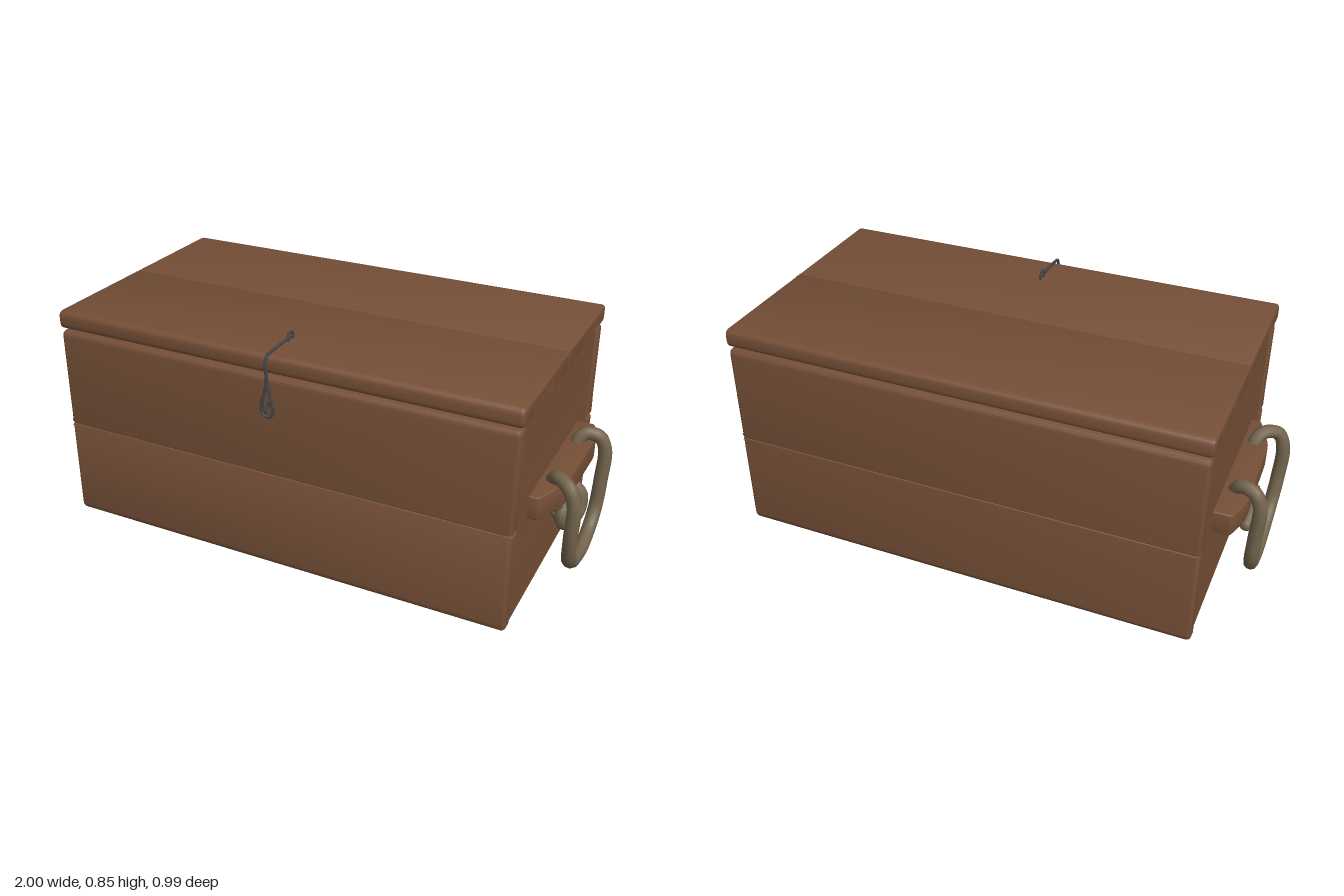
import * as THREE from 'three';
import { toCreasedNormals } from 'three/addons/utils/BufferGeometryUtils.js';

const mat = (name, color) => {
  const m = new THREE.MeshStandardMaterial({ color });
  m.name = name;
  return m;
};

// Closed shape from [u, v, cornerRadius] points
function roundedShape(pts) {
  const shape = new THREE.Shape();
  const n = pts.length;
  pts.forEach(([u, v, r = 0], i) => {
    const toward = ([a, b]) => {
      const d = Math.hypot(a - u, b - v);
      return [u + ((a - u) * r) / d, v + ((b - v) * r) / d];
    };
    const a = toward(pts[(i + n - 1) % n]);
    if (i === 0) shape.moveTo(...a);
    else shape.lineTo(...a);
    if (r) shape.quadraticCurveTo(u, v, ...toward(pts[(i + 1) % n]));
  });
  shape.closePath();
  return shape;
}

// Centred extrusion with rounded end edges that stays inside the outline
function extrude(pts, length, bevel) {
  const geo = new THREE.ExtrudeGeometry(roundedShape(pts), {
    depth: length - 2 * bevel, curveSegments: 4, bevelEnabled: bevel > 0,
    bevelSize: bevel, bevelThickness: bevel, bevelOffset: -bevel, bevelSegments: 3,
  });
  return geo.translate(0, 0, -length / 2 + bevel);
}

// Board with a (z, y) profile running along x
const board = (pts, length, bevel) =>
  toCreasedNormals(extrude(pts, length, bevel).rotateY(-Math.PI / 2), 0.7);

const tube = (pts, segments, radius, sides) => new THREE.TubeGeometry(
  new THREE.CatmullRomCurve3(pts.map((p) => new THREE.Vector3(...p))), segments, radius, sides);

export function createModel() {
  const group = new THREE.Group();
  group.name = 'woodenChest';
  const wood = mat('brown wood', 0x754f37);
  const rope = mat('hemp rope', 0x73644d);
  const iron = mat('dark iron', 0x47474b);
  const add = (name, geo, material, x = 0, y = 0, z = 0) => {
    const mesh = new THREE.Mesh(geo, material);
    mesh.name = name;
    mesh.position.set(x, y, z);
    group.add(mesh);
    return mesh;
  };

  // Front and back walls, two boards each
  for (const [side, outer, inner] of [['front', 0.455, 0.396], ['back', -0.49, -0.434]]) {
    add(side + 'LowerBoard', board([
      [outer, 0.004, 0.028], [outer, 0.375, 0.004], [inner, 0.375], [inner, 0.004, 0.01],
    ], 1.7, 0.014), wood);
    add(side + 'UpperBoard', board([
      [outer, 0.377, 0.004], [outer, 0.745, 0.024], [inner, 0.745, 0.01], [inner, 0.377],
    ], 1.7, 0.014), wood);
  }

  // Lid boards, notched underneath for the end tabs
  const lid = (outer, seam, a, b) => [
    [outer, 0.753, 0.02], [outer, 0.819, 0.024], [seam, 0.819, 0.003], [seam, 0.753],
    [b, 0.753], [b, 0.787], [a, 0.787], [a, 0.753],
  ];
  add('lidFrontBoard', board(lid(0.455, -0.019, 0.348, 0.157), 1.71, 0.012), wood);
  add('lidBackBoard', board(lid(-0.49, -0.021, -0.388, -0.194), 1.71, 0.012), wood);

  // Floor
  add('floor', new THREE.BoxGeometry(1.62, 0.04, 0.818), wood, 0, 0.032, -0.019);

  const zf = 0.39;
  const zb = -0.428;
  const endTop = [
    [zb, 0.501], [zf, 0.501], [zf, 0.745], [0.345, 0.745], [0.345, 0.785], [0.16, 0.785],
    [0.16, 0.585], [0.154, 0.745], [-0.191, 0.745], [-0.197, 0.585], [-0.197, 0.785],
    [-0.385, 0.785], [-0.385, 0.745], [zb, 0.745],
  ];
  const cleat = [
    [0.82, 0.275], [0.875, 0.275, 0.01], [0.93, 0.14, 0.03], [0.935, -0.22, 0.03],
    [0.905, -0.31, 0.01], [0.82, -0.31],
  ];
  // Rope from knot tail, up through the cleat, around the loop and back to the knot
  const ropePath = [
    [0.925, 0.243, -0.1], [0.93, 0.265, -0.05], [0.92, 0.288, 0.02], [0.91, 0.265, 0.07],
    [0.91, 0.225, 0.065], [0.93, 0.215, 0.02], [0.945, 0.25, -0.015], [0.94, 0.305, -0.025],
    [0.91, 0.325, -0.02], [0.885, 0.3, 0.015], [0.885, 0.305, 0.09], [0.882, 0.34, 0.135],
    [0.88, 0.42, 0.135], [0.905, 0.453, 0.165], [0.95, 0.442, 0.196], [0.973, 0.39, 0.202],
    [0.972, 0.25, 0.196], [0.966, 0.15, 0.158], [0.964, 0.096, 0.08], [0.964, 0.077, -0.03],
    [0.964, 0.106, -0.13], [0.968, 0.17, -0.18], [0.972, 0.27, -0.191], [0.973, 0.4, -0.193],
    [0.95, 0.445, -0.188], [0.905, 0.453, -0.175], [0.88, 0.42, -0.16], [0.882, 0.34, -0.155],
    [0.89, 0.3, -0.11], [0.9, 0.285, -0.05], [0.895, 0.265, 0.01], [0.88, 0.24, 0.03],
  ];

  for (const s of [1, -1]) {
    const side = s > 0 ? 'left' : 'right';
    // End wall: two plain boards and a top board with tabs and slits
    [[0.004, 0.249], [0.251, 0.499]].forEach(([lo, hi], i) => {
      add(side + ['EndLowerBoard', 'EndMiddleBoard'][i],
        new THREE.BoxGeometry(0.055, hi - lo, zf - zb), wood, s * 0.815, (lo + hi) / 2, (zf + zb) / 2);
    });
    add(side + 'EndUpperBoard', board(endTop, 0.055, 0), wood, s * 0.815);

    // Handle cleat
    const bar = extrude(cleat.map(([x, z, r]) => [s * x, z, r]), 0.086, 0.008).rotateX(Math.PI / 2);
    add(side + 'HandleCleat', toCreasedNormals(bar, 0.5), wood, 0, 0.384);

    // Knotted rope handle with closed ends
    const path = ropePath.map(([x, y, z]) => [s * x, y, z]);
    add(side + 'RopeHandle', tube(path, 170, 0.0245, 10), rope);
    for (const p of [path[0], path[path.length - 1]]) {
      add(side + 'RopeEnd', new THREE.SphereGeometry(0.0242, 10, 8), rope, ...p);
    }
  }

  // Latch hook with a teardrop eye at its lower end
  add('latchHook', tube([
    [0.002, 0.73, 0.471], [0.012, 0.685, 0.472], [0.023, 0.635, 0.472], [0.015, 0.612, 0.472],
    [0, 0.607, 0.472], [-0.015, 0.612, 0.472], [-0.023, 0.635, 0.472], [-0.012, 0.685, 0.472],
    [0, 0.73, 0.472], [0, 0.8, 0.476], [0, 0.822, 0.466], [0, 0.827, 0.44], [0, 0.83, 0.29],
  ], 90, 0.0055, 6), iron);

  // Staples holding the latch
  for (const [name, y, z] of [['frontStaple', 0.643, 0.476], ['lidStaple', 0.829, 0.306]]) {
    const ring = new THREE.TorusGeometry(0.0185, 0.005, 6, 6).rotateY(Math.PI / 2);
    add(name, ring, iron, 0, y, z);
  }

  return group;
}
